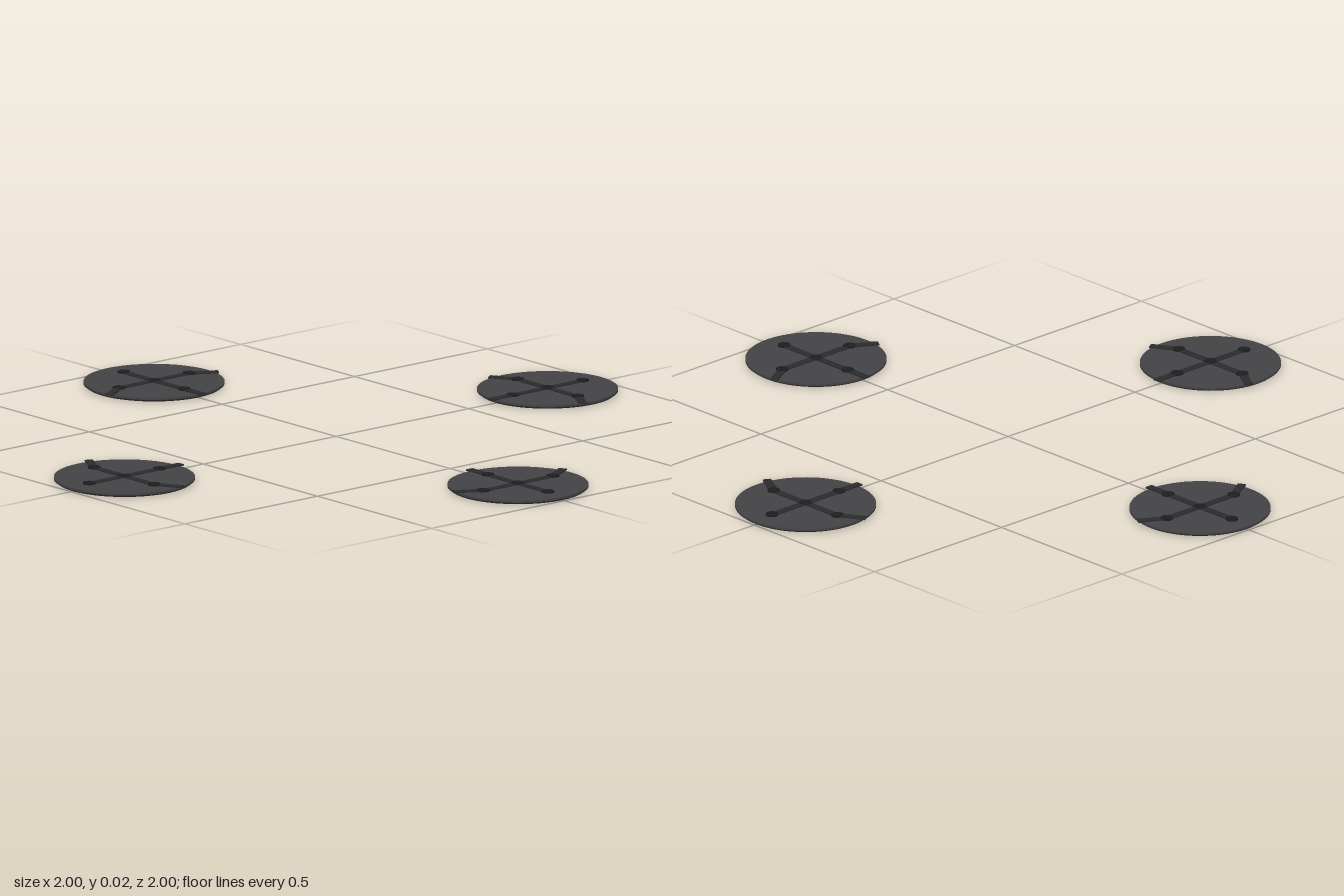
import * as THREE from 'three';

const R = 0.202, OFFSET = 0.798, TOP = 0.012;
const plateMat = new THREE.MeshStandardMaterial({ color: 0x444446 });
const trackMat = new THREE.MeshStandardMaterial({ color: 0x2a2c2e });
const studMat = new THREE.MeshStandardMaterial({ color: 0x1c1e20 });

function add(group, name, geometry, material, x, y, z) {
  const mesh = new THREE.Mesh(geometry, material);
  mesh.name = name;
  mesh.position.set(x, y, z);
  group.add(mesh);
  return mesh;
}

// Flat strip lying on the plate between two points [x, z]
function strip(group, name, [x0, z0], [x1, z1], height = 0.003) {
  const length = Math.hypot(x1 - x0, z1 - z0);
  const mesh = add(group, name, new THREE.BoxGeometry(length, height, 0.024), trackMat,
    (x0 + x1) / 2, TOP + height / 2 - 0.0005, (z0 + z1) / 2);
  mesh.rotation.y = -Math.atan2(z1 - z0, x1 - x0);
}

function createPad() {
  const pad = new THREE.Group();

  // Round plate with a slightly undercut rim
  const profile = [[0, 0], [R - 0.008, 0], [R - 0.008, 0], [R, 0.006], [R, 0.006], [R, TOP], [R, TOP], [0, TOP]]
    .map(([r, y]) => new THREE.Vector2(r, y));
  add(pad, 'plate', new THREE.LatheGeometry(profile, 72), plateMat, 0, 0, 0);

  // Crossed strips; -z points to the middle of the set
  const arm = 0.132;
  strip(pad, 'crossStrip', [-arm, 0], [arm, 0]);
  strip(pad, 'longStrip', [0, arm], [0, -arm]);

  // Tabs that run over the rim
  strip(pad, 'innerTab', [0, -arm], [0, -0.214], 0.004);
  for (const s of [-1, 1]) strip(pad, 'sideTab', [s * arm, 0], [s * 0.206, -0.043], 0.004);

  // Round studs at the crossing and the strip ends
  for (const [x, z] of [[0, 0], [arm, 0], [-arm, 0], [0, arm], [0, -arm]]) {
    add(pad, 'stud', new THREE.CylinderGeometry(0.018, 0.018, 0.005, 24), studMat, x, TOP + 0.002, z);
  }
  return pad;
}

export function createModel() {
  const model = new THREE.Group();
  model.name = 'padSet';
  // Four pads around the centre, each turned to face it
  ['frontPad', 'leftPad', 'backPad', 'rightPad'].forEach((name, i) => {
    const pad = createPad();
    const angle = i * Math.PI / 2;
    pad.name = name;
    pad.rotation.y = angle;
    pad.position.set(Math.sin(angle) * OFFSET, 0, Math.cos(angle) * OFFSET);
    model.add(pad);
  });
  return model;
}
